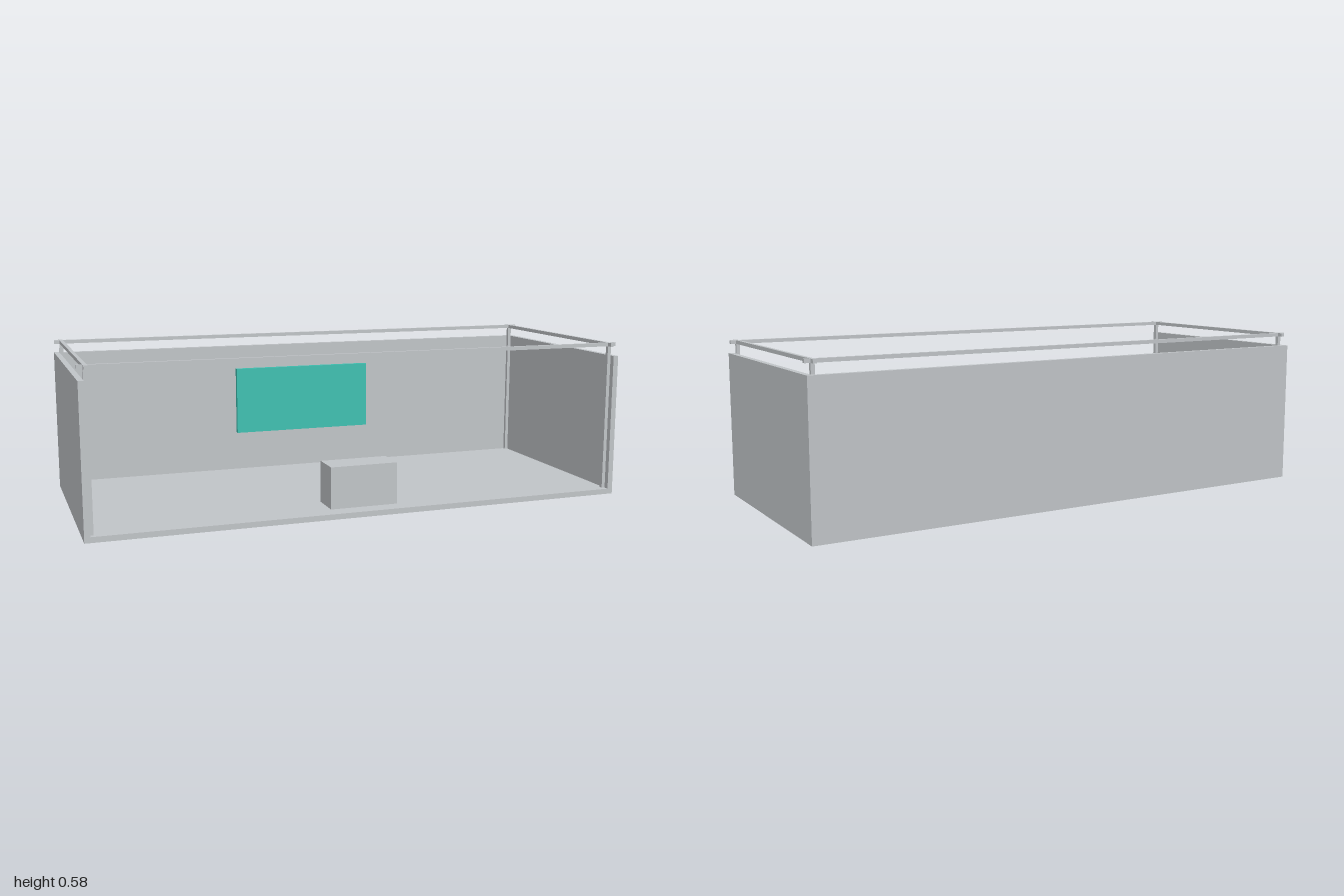
import * as THREE from 'three';

export function createModel() {
  const model = new THREE.Group();
  model.name = 'exhibitionBooth';

  const grey = new THREE.MeshStandardMaterial({ color: 0xc2c6c9 });
  grey.name = 'light grey';
  const teal = new THREE.MeshStandardMaterial({ color: 0x41c2b3 });
  teal.name = 'teal';

  // Box given by its minimum and maximum along each axis
  const box = (name, [x0, x1], [y0, y1], [z0, z1], material = grey) => {
    const mesh = new THREE.Mesh(new THREE.BoxGeometry(x1 - x0, y1 - y0, z1 - z0), material);
    mesh.position.set((x0 + x1) / 2, (y0 + y1) / 2, (z0 + z1) / 2);
    mesh.name = name;
    model.add(mesh);
  };
  // Orders a span after mirroring it to either side
  const side = (s, a, b) => (s > 0 ? [a, b] : [-b, -a]);

  const W = 1, D = 0.415, T = 0.02, BAR = 0.0133;
  const wallTop = 0.534, railTop = 0.583, railBottom = railTop - BAR;

  // Floor and back wall
  box('floor', [-W, W], [0, T], [-D, D]);
  box('backWall', [-W + T, W - T], [T, wallTop], [-D, -D + T]);

  for (const s of [1, -1]) {
    const label = s > 0 ? 'left' : 'right';
    const barX = side(s, W - T - BAR, W - T);
    const barZ = side(s, D - T - BAR, D - T);

    // Side walls and the frame rails above them
    box(label + 'Wall', side(s, W - T, W), [T, wallTop], [-D, D]);
    box(label + 'Rail', barX, [railBottom, railTop], [-D, D]);
    box(s > 0 ? 'frontRail' : 'backRail', [-W, W], [railBottom, railTop], barZ);

    // Corner posts standing just inside the walls
    for (const t of [1, -1]) {
      box(label + (t > 0 ? 'Front' : 'Back') + 'Post', barX, [T, railBottom],
        side(t, D - T - BAR, D - T));
    }
  }

  // Counter near the front and screen by the back wall
  box('counter', [-0.127, 0.127], [T, 0.174], [0.236, 0.351]);
  box('screen', [-0.283, 0.283], [0.177, 0.442], [-0.385, -0.366], teal);

  return model;
}
